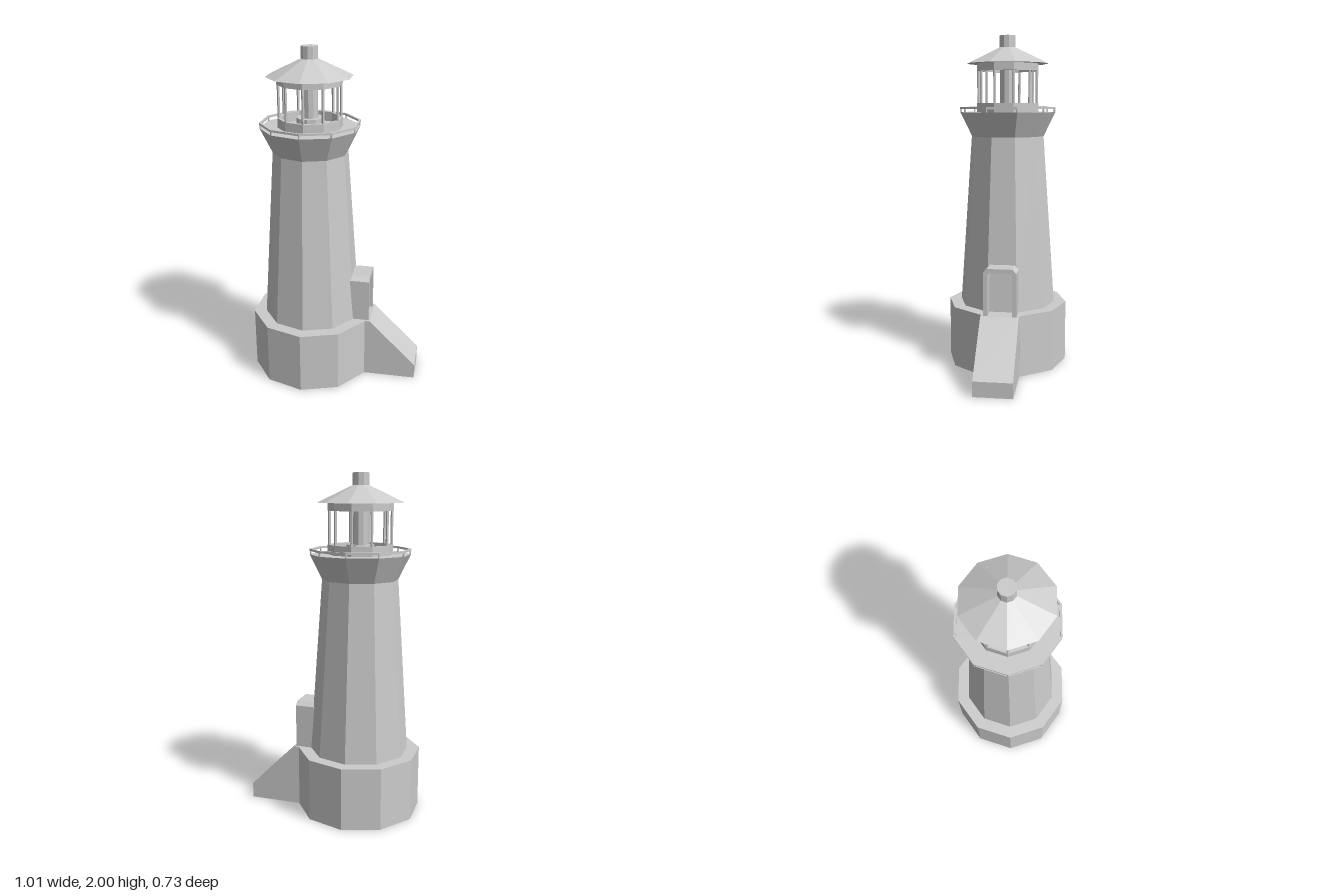
import * as THREE from 'three';

const SIDES = 10;
const mat = new THREE.MeshStandardMaterial({ color: 0xcccccc, flatShading: true });

function add(parent, name, geometry, x = 0, y = 0, z = 0) {
  const mesh = new THREE.Mesh(geometry, mat);
  mesh.name = name;
  mesh.position.set(x, y, z);
  parent.add(mesh);
  return mesh;
}

// Ten-sided solid between two heights
function prism(parent, name, rBottom, rTop, y0, y1) {
  return add(parent, name, new THREE.CylinderGeometry(rTop, rBottom, y1 - y0, SIDES), 0, (y0 + y1) / 2, 0);
}

// Hollow ten-sided ring with a rectangular section
function ring(parent, name, rIn, rOut, y0, y1) {
  const profile = [[rIn, y0], [rOut, y0], [rOut, y1], [rIn, y1], [rIn, y0]]
    .map(([r, y]) => new THREE.Vector2(r, y));
  return add(parent, name, new THREE.LatheGeometry(profile, SIDES));
}

// Upright posts on the corners of the ten-sided plan
function posts(parent, name, radius, thickness, y0, y1) {
  const geometry = new THREE.CylinderGeometry(thickness, thickness, y1 - y0, 6);
  for (let i = 0; i < SIDES; i++) {
    const a = (i / SIDES) * Math.PI * 2;
    add(parent, name, geometry, Math.sin(a) * radius, (y0 + y1) / 2, Math.cos(a) * radius);
  }
}

const outline = (points) => points.map(([x, y]) => new THREE.Vector2(x, y));

export function createModel() {
  const model = new THREE.Group();
  model.name = 'lighthouse';

  const tower = new THREE.Group();
  tower.name = 'tower';
  tower.position.x = -0.157;
  model.add(tower);

  // Masonry
  prism(tower, 'base', 0.367, 0.367, 0, 0.37);
  prism(tower, 'shaft', 0.293, 0.221, 0.37, 1.4);
  prism(tower, 'galleryFlare', 0.221, 0.292, 1.4, 1.545);

  // Gallery railing
  posts(tower, 'railingPost', 0.286, 0.005, 1.545, 1.566);
  ring(tower, 'railing', 0.28, 0.293, 1.564, 1.576);

  // Lantern room
  ring(tower, 'lanternWall', 0.168, 0.188, 1.545, 1.6);
  posts(tower, 'lanternPost', 0.178, 0.008, 1.6, 1.79);
  ring(tower, 'lanternLintel', 0.168, 0.188, 1.79, 1.834);
  prism(tower, 'lampPedestal', 0.08, 0.08, 1.545, 1.6);
  prism(tower, 'lamp', 0.046, 0.046, 1.6, 1.834);

  // Roof and vent
  prism(tower, 'roof', 0.25, 0.048, 1.834, 1.93);
  prism(tower, 'roofVent', 0.048, 0.048, 1.93, 2);

  // Entrance ramp, its side profile extruded across z
  const ramp = new THREE.ExtrudeGeometry(
    new THREE.Shape(outline([[0.15, 0], [0.505, 0], [0.505, 0.09], [0.222, 0.37], [0.15, 0.37]])),
    { depth: 0.226, bevelEnabled: false });
  add(model, 'ramp', ramp, 0, 0, -0.113);

  // Doorway surround: a chamfered arch extruded out of the shaft along +x
  const arch = new THREE.Shape(outline([
    [-0.098, 0.37], [-0.073, 0.37], [-0.073, 0.615], [-0.063, 0.626], [0.063, 0.626], [0.073, 0.615],
    [0.073, 0.37], [0.098, 0.37], [0.098, 0.628], [0.074, 0.652], [-0.074, 0.652], [-0.098, 0.628],
  ]));
  const doorway = add(model, 'doorway',
    new THREE.ExtrudeGeometry(arch, { depth: 0.133, bevelEnabled: false }), 0.08, 0, 0);
  doorway.rotation.y = Math.PI / 2;

  return model;
}
